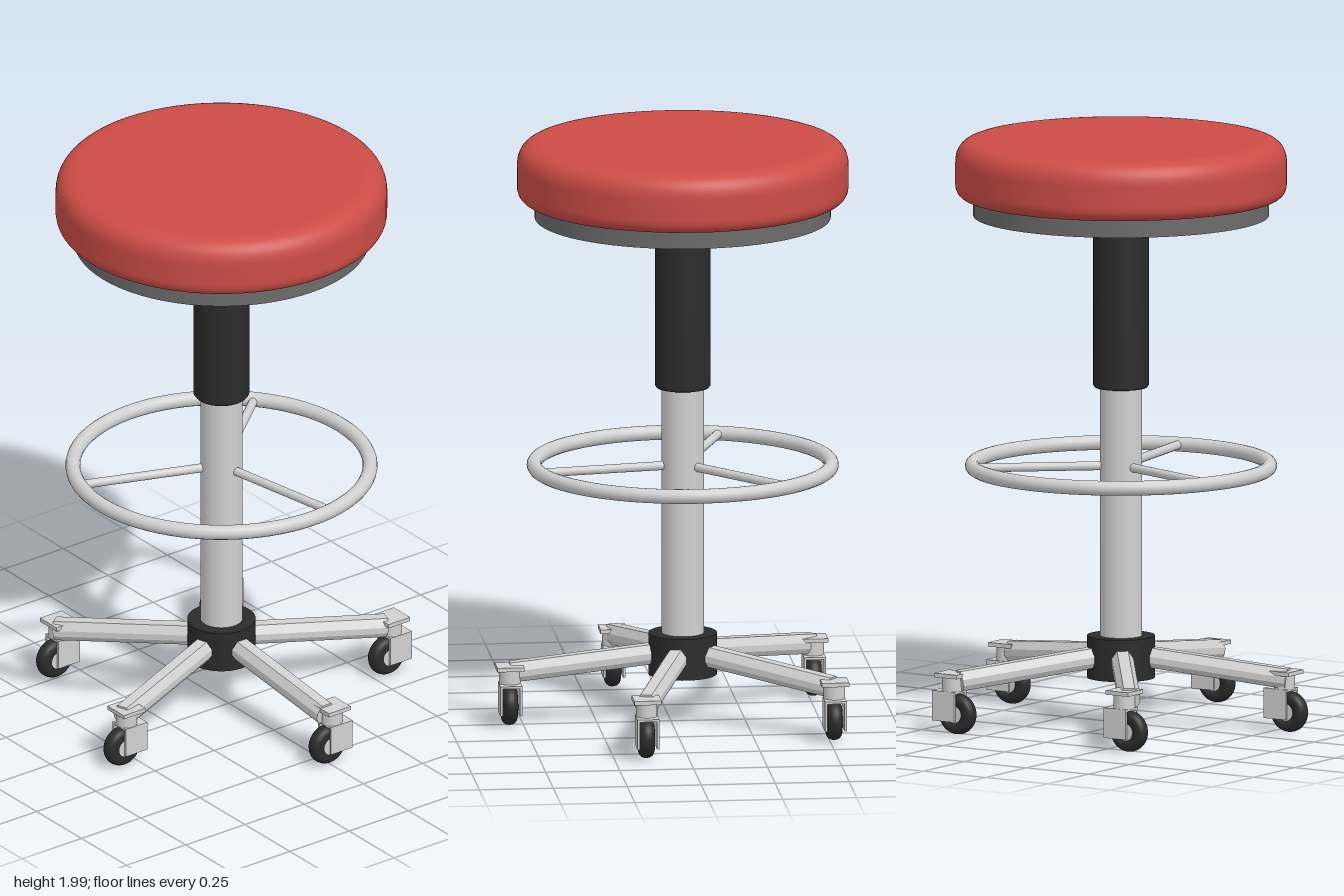
import * as THREE from 'three';

export function createModel() {
  const material = (name, color) => {
    const m = new THREE.MeshStandardMaterial({ color });
    m.name = name;
    return m;
  };
  const red = material('red upholstery', 0xcc4c46);
  const grey = material('grey seat pan', 0x6b6b6b);
  const black = material('black plastic', 0x2b2b2b);
  const metal = material('light metal', 0xd0d0d0);

  const model = new THREE.Group();
  model.name = 'stool';
  const stool = new THREE.Group(); // everything turns around the column axis
  stool.name = 'stoolAssembly';
  stool.position.x = -0.04;
  model.add(stool);

  const add = (parent, name, geometry, mat, x = 0, y = 0, z = 0) => {
    const mesh = new THREE.Mesh(geometry, mat);
    mesh.name = name;
    mesh.position.set(x, y, z);
    parent.add(mesh);
    return mesh;
  };
  const cylinder = (parent, name, r, y0, y1, mat, segments = 48) =>
    add(parent, name, new THREE.CylinderGeometry(r, r, y1 - y0, segments), mat, 0, (y0 + y1) / 2, 0);

  // Cushion: rounded rim, fuller at the top edge
  const rim = new THREE.Path();
  rim.moveTo(0, 1.8);
  rim.lineTo(0.515, 1.8);
  rim.quadraticCurveTo(0.558, 1.805, 0.558, 1.85);
  rim.lineTo(0.558, 1.92);
  rim.bezierCurveTo(0.558, 1.965, 0.535, 2, 0.475, 2);
  rim.lineTo(0, 2);
  add(stool, 'cushion', new THREE.LatheGeometry(rim.getPoints(10), 72), red);
  cylinder(stool, 'seatPan', 0.498, 1.74, 1.802, grey, 72);

  // Column, sleeve and hub
  const sleeve = [[0, 1.155], [0.088, 1.155], [0.094, 1.163], [0.094, 1.672], [0.088, 1.68], [0, 1.68]];
  add(stool, 'sleeve', new THREE.LatheGeometry(sleeve.map(p => new THREE.Vector2(...p)), 48), black);
  cylinder(stool, 'column', 0.071, 0.25, 1.16, metal);
  cylinder(stool, 'hub', 0.115, 0.168, 0.31, black);

  // Foot ring with three spokes
  const ring = add(stool, 'footRing', new THREE.TorusGeometry(0.5, 0.025, 16, 80), metal, 0, 0.888, 0);
  ring.rotation.x = Math.PI / 2;
  for (let i = 0; i < 3; i++) {
    const arm = new THREE.Group();
    arm.name = 'ringSpoke' + (i + 1);
    arm.rotation.y = THREE.MathUtils.degToRad(10 - i * 120);
    stool.add(arm);
    const spoke = add(arm, 'spoke', new THREE.CylinderGeometry(0.015, 0.015, 0.45, 16), metal, 0.275, 0.888, 0);
    spoke.rotation.z = Math.PI / 2;
  }

  // Leg bar: faceted section extruded outwards
  const section = new THREE.Shape([
    [-0.019, 0.033], [-0.037, 0.006], [-0.037, -0.015], [-0.026, -0.033],
    [0.026, -0.033], [0.037, -0.015], [0.037, 0.006], [0.019, 0.033],
  ].map(p => new THREE.Vector2(...p)));
  const legLength = 0.5;
  const legGeometry = new THREE.ExtrudeGeometry(section, { depth: legLength, bevelEnabled: false });
  legGeometry.rotateY(Math.PI / 2);

  // Caster wheel with rounded tread
  const tread = new THREE.Path();
  tread.moveTo(0.03, -0.026);
  tread.lineTo(0.05, -0.026);
  tread.bezierCurveTo(0.076, -0.022, 0.076, 0.022, 0.05, 0.026);
  tread.lineTo(0.03, 0.026);
  tread.lineTo(0.03, -0.026);
  const wheelGeometry = new THREE.LatheGeometry(tread.getPoints(10), 40).rotateZ(Math.PI / 2);
  const axleGeometry = new THREE.CylinderGeometry(0.03, 0.03, 0.05, 24).rotateZ(Math.PI / 2);

  const makeCaster = () => {
    const caster = new THREE.Group();
    caster.name = 'caster';
    add(caster, 'wheel', wheelGeometry, black, 0, 0.075, 0);
    add(caster, 'wheelHub', axleGeometry, metal, 0, 0.075, 0);
    for (const side of [-1, 1]) {
      add(caster, 'forkSide', new THREE.BoxGeometry(0.008, 0.095, 0.09), metal, side * 0.033, 0.098, -0.035);
    }
    add(caster, 'forkTop', new THREE.BoxGeometry(0.074, 0.008, 0.09), metal, 0, 0.149, -0.035);
    add(caster, 'swivel', new THREE.CylinderGeometry(0.036, 0.036, 0.052, 24), metal, 0, 0.177, -0.02);
    add(caster, 'topPlate', new THREE.BoxGeometry(0.092, 0.014, 0.092), metal, 0, 0.207, -0.02);
    return caster;
  };

  // Five legs; the casters all roll the same way
  for (let i = 0; i < 5; i++) {
    const angle = i * Math.PI * 2 / 5;
    const arm = new THREE.Group();
    arm.name = 'leg' + (i + 1);
    arm.rotation.y = -angle;
    stool.add(arm);
    const bar = add(arm, 'legBar', legGeometry, metal, 0.085, 0.243, 0);
    bar.rotation.z = -Math.asin(0.055 / legLength);

    const caster = makeCaster();
    caster.position.set(0.587 * Math.cos(angle), 0, 0.587 * Math.sin(angle));
    stool.add(caster);
  }
  return model;
}
